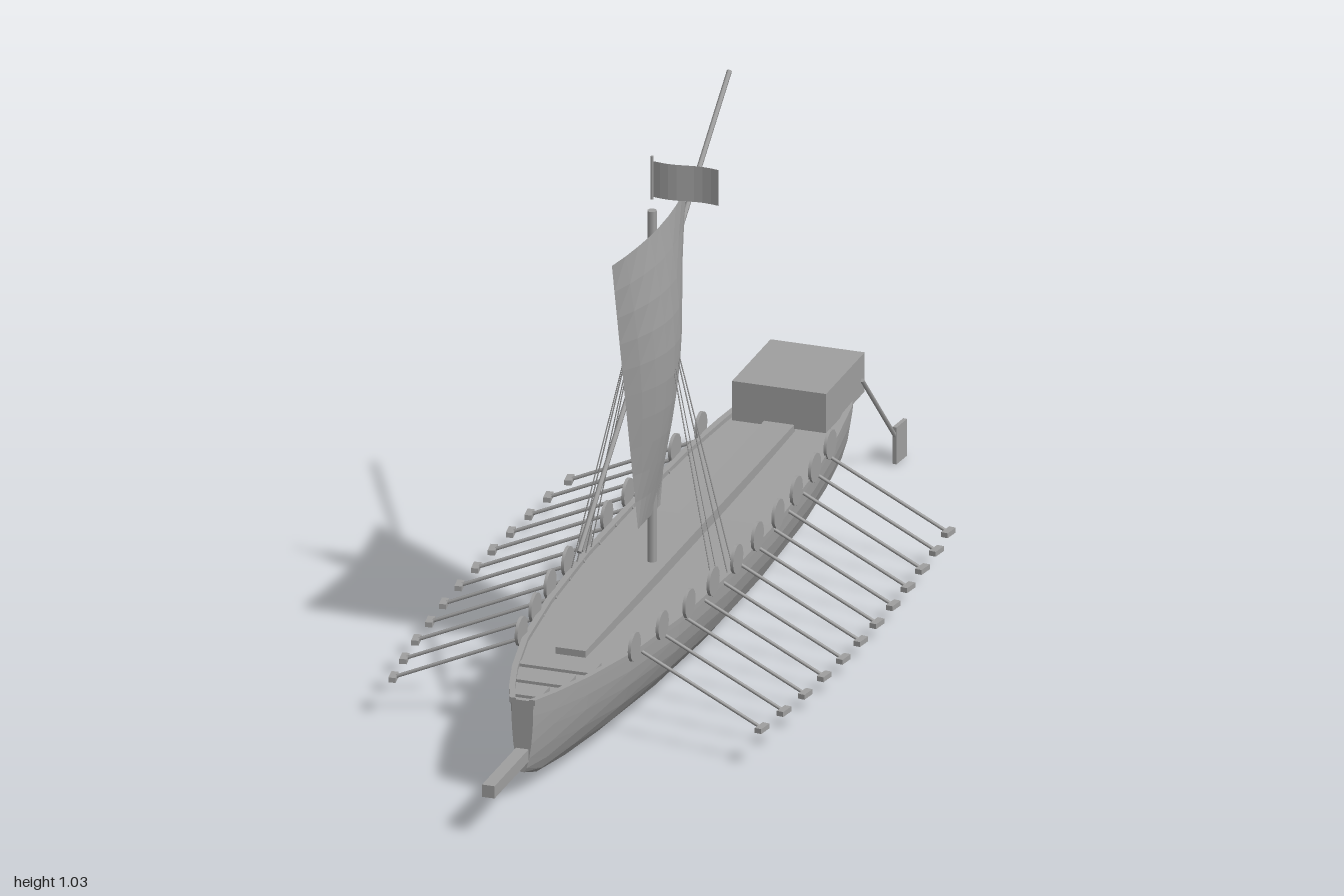
import * as THREE from 'three';

const grey = new THREE.MeshStandardMaterial({ color: 0xa0a0a0, side: THREE.DoubleSide });
grey.name = 'weathered grey';

// Stations from bow to stern: z, half width at the rim, keel height
const STATIONS = [
  [0.81, 0.022, 0.058], [0.75, 0.045, 0.036], [0.65, 0.075, 0.024], [0.5, 0.108, 0.015],
  [0.3, 0.132, 0.008], [0.05, 0.146, 0.003], [-0.2, 0.145, 0.002], [-0.45, 0.134, 0.006],
  [-0.62, 0.117, 0.012], [-0.75, 0.098, 0.022], [-0.86, 0.066, 0.034], [-0.945, 0.03, 0.06],
];
const rimY = (z) => 0.185 + 0.02 * ((z + 0.06) / 0.88) ** 2;

function halfWidth(z) {
  for (let i = 1; i < STATIONS.length; i++) {
    const [z0, w0] = STATIONS[i - 1], [z1, w1] = STATIONS[i];
    if (z >= z1) return w0 + (w1 - w0) * (z - z0) / (z1 - z0);
  }
  return STATIONS.at(-1)[1];
}

// Skin through cross-sections with equal point counts, flat shaded
function loft(sections, caps = false) {
  const n = sections[0].length, index = [];
  for (let i = 0; i < sections.length - 1; i++) {
    for (let j = 0; j < n - 1; j++) {
      const a = i * n + j, b = a + n;
      index.push(a, a + 1, b, a + 1, b + 1, b);
    }
  }
  if (caps) {
    const last = (sections.length - 1) * n;
    for (let j = 1; j < n - 1; j++) {
      index.push(0, j + 1, j, last, last + j, last + j + 1);
    }
  }
  const geo = new THREE.BufferGeometry();
  geo.setAttribute('position', new THREE.Float32BufferAttribute(sections.flat(2), 3));
  geo.setIndex(index);
  const flat = geo.toNonIndexed();
  flat.computeVertexNormals();
  return flat;
}

export function createModel() {
  const ship = new THREE.Group();
  ship.name = 'galley';

  const add = (name, geo, x = 0, y = 0, z = 0, parent = ship) => {
    const mesh = new THREE.Mesh(geo, grey);
    mesh.name = name;
    mesh.position.set(x, y, z);
    parent.add(mesh);
    return mesh;
  };
  const box = (name, w, h, d, x, y, z, parent) => add(name, new THREE.BoxGeometry(w, h, d), x, y, z, parent);
  const rod = (name, from, to, r, parent = ship, sides = 6) => {
    const a = new THREE.Vector3(...from), b = new THREE.Vector3(...to);
    const mesh = add(name, new THREE.CylinderGeometry(r, r, a.distanceTo(b), sides), 0, 0, 0, parent);
    mesh.position.copy(a).add(b).multiplyScalar(0.5);
    mesh.quaternion.setFromUnitVectors(new THREE.Vector3(0, 1, 0), b.sub(a).normalize());
    return mesh;
  };

  // Hull: rounded half-section mirrored, flat bow and stern faces
  const half = [[1, 1], [0.99, 0.8], [0.94, 0.62], [0.82, 0.4], [0.62, 0.2], [0.38, 0.06], [0.14, 0]];
  const profile = [...half, ...half.map(([x, y]) => [-x, y]).reverse()];
  add('hull', loft(STATIONS.map(([z, w, k]) =>
    profile.map(([x, y]) => [x * w, k + y * (rimY(z) - k), z])), true));

  // Deck just below the rim
  add('deck', loft(STATIONS.map(([z, w]) =>
    [[-w + 0.002, rimY(z) - 0.006, z], [w - 0.002, rimY(z) - 0.006, z]])));

  // Rail along both sides
  for (const s of [1, -1]) {
    add('rail', loft(STATIONS.map(([z, w]) => {
      const y = rimY(z);
      const loop = [[w + 0.003, y + 0.003], [w + 0.003, y - 0.008], [w - 0.009, y - 0.008], [w - 0.009, y + 0.003]];
      if (s < 0) loop.reverse();
      return [...loop, loop[0]].map(([x, yy]) => [s * x, yy, z]);
    }), true));
  }

  // Walkway, end planks, cabin and ram
  box('walkway', 0.06, 0.022, 1.17, 0, 0.191, -0.045);
  for (const z of [0.6, 0.68, 0.755]) {
    box('bowPlank', 2 * halfWidth(z + 0.03) - 0.012, 0.01, 0.055, 0, rimY(z) - 0.004, z);
  }
  box('sternPlank', 0.056, 0.012, 0.1, 0, 0.203, -0.89);
  box('cabin', 0.188, 0.08, 0.215, 0, 0.234, -0.7325);
  box('ram', 0.025, 0.025, 0.25, 0, 0.0935, 0.875);

  // Mast with slanted yard
  const mastZ = 0.085;
  rod('mast', [0, 0.18, mastZ], [0, 0.917, mastZ], 0.0095, ship, 8);
  rod('yard', [-0.002, 0.378, 0.487], [-0.002, 1.028, -0.353], 0.005);

  // Sail: tapering sheet bellied toward +x
  const sail = [];
  for (let i = 0; i <= 10; i++) {
    const v = i / 10, row = [];
    const y = 0.3 + 0.595 * v;
    const belly = 0.02 * v + 0.04 * Math.sin(Math.PI * v ** 1.1);
    for (let j = 0; j <= 8; j++) {
      const u = j / 4 - 1;
      const z = 0.107 - 0.002 * v + u * (0.0625 + 0.1475 * v);
      row.push([0.002 + belly * (1 - u * u), y, z]);
    }
    sail.push(row);
  }
  add('sail', loft(sail));

  // Flag with a gentle wave on a short staff
  rod('flagStaff', [0, 0.94, mastZ], [0, 1.028, mastZ], 0.003);
  const flag = [];
  for (let i = 0; i <= 8; i++) {
    const x = 0.133 * i / 8, z = mastZ + 0.004 * Math.sin(i * Math.PI / 4);
    flag.push([[x, 0.945, z], [x, 1.018, z]]);
  }
  add('flag', loft(flag));

  for (const s of [1, -1]) {
    // Shrouds
    for (const z of [0.03, 0.06, 0.11, 0.14]) {
      rod('shroud', [0, 0.84, mastZ], [s * 0.142, 0.185, z], 0.0013, ship, 4);
    }
    // Round shields along the rail
    for (let i = 0; i < 10; i++) {
      const z = 0.5 - i * 0.1165;
      const disc = new THREE.CylinderGeometry(0.029, 0.029, 0.006, 14).rotateZ(Math.PI / 2);
      add('shield', disc, s * (halfWidth(z) + 0.005), 0.207, z);
    }
    // Rowing oars with small crosswise blades
    for (let i = 0; i < 12; i++) {
      const z = 0.457 - i * 0.092, x = halfWidth(z);
      const oar = new THREE.Group();
      oar.name = 'oar';
      ship.add(oar);
      rod('oarShaft', [s * (x - 0.01), 0.185, z], [s * (x + 0.255), 0.077, z + 0.043], 0.0035, oar);
      const blade = box('oarBlade', 0.014, 0.01, 0.032, s * (x + 0.255), 0.077, z + 0.043, oar);
      blade.rotation.y = -s * 0.16;
    }
    // Steering oars at the stern
    const rudder = new THREE.Group();
    rudder.name = 'steeringOar';
    ship.add(rudder);
    rod('steeringShaft', [s * 0.096, 0.225, -0.82], [s * 0.116, 0.035, -0.977], 0.0045, rudder);
    box('steeringBlade', 0.008, 0.075, 0.047, s * 0.116, 0.042, -0.975, rudder).rotation.y = -s * 0.1;
  }
  return ship;
}
